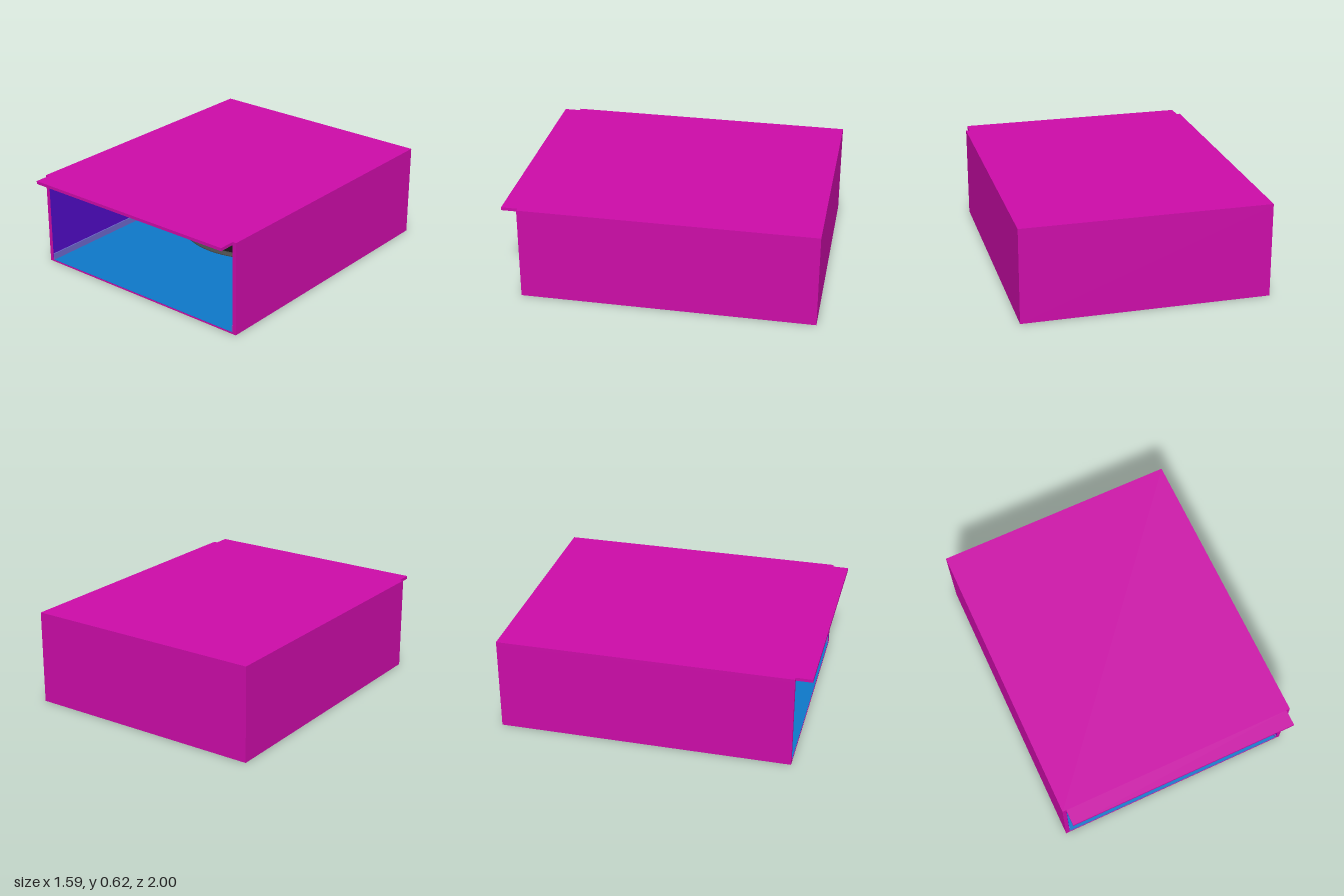
import * as THREE from 'three';

const MAGENTA = 0xcc0ca8, GREEN = 0x24c80e, INDIGO = 0x500ac3, LAVENDER = 0x6c66c8;
const BLUE = 0x0e78c8, BLACK = 0x141212, GREY = 0x464646;

// Outer shell and inner room limits
const X = 0.795, XI = 0.77, H = 0.615, YI = 0.595, FLOOR = 0.01;
const FRONT = 0.895, BACK = -1, BACKI = -0.975;
const DISC_Z = -0.34;

export function createModel() {
  const room = new THREE.Group();
  room.name = 'openRoom';

  const add = (name, geometry, color) => {
    const mesh = new THREE.Mesh(geometry, new THREE.MeshStandardMaterial({ color }));
    mesh.name = name;
    room.add(mesh);
    return mesh;
  };

  // Box given by its lower and upper limits
  const box = (name, color, [x0, x1], [y0, y1], [z0, z1]) =>
    add(name, new THREE.BoxGeometry(x1 - x0, y1 - y0, z1 - z0), color)
      .position.set((x0 + x1) / 2, (y0 + y1) / 2, (z0 + z1) / 2);

  // Shell: base, back, roof and the narrower front lip
  box('base', MAGENTA, [-X, X], [0, FLOOR], [BACK, FRONT]);
  box('backWall', MAGENTA, [-XI, XI], [FLOOR, YI], [BACK, BACKI]);
  box('roof', MAGENTA, [-X, X], [YI, H], [BACK, FRONT]);
  box('roofLip', MAGENTA, [-XI, XI], [YI, H], [FRONT, 1]);

  // Room lining
  const T = 0.002;
  box('floor', BLUE, [-XI, XI], [FLOOR, FLOOR + T], [BACKI, FRONT - T]);
  box('backPanel', GREEN, [-XI, XI], [FLOOR, YI], [BACKI, BACKI + T]);
  box('backSkirting', LAVENDER, [-XI, XI], [FLOOR, 0.055], [BACKI, BACKI + 0.01]);

  // Side walls with their panels and skirting
  for (const [side, s] of [['left', 1], ['right', -1]]) {
    const span = (a, b) => (s > 0 ? [a, b] : [-b, -a]);
    box(side + 'Wall', MAGENTA, span(XI, X), [FLOOR, YI], [BACK, FRONT]);
    box(side + 'Panel', INDIGO, span(XI - T, XI), [FLOOR, YI], [BACKI, FRONT - T]);
    box(side + 'Skirting', LAVENDER, span(XI - 0.01, XI), [FLOOR, 0.055], [BACKI, FRONT - T]);
  }

  // Round rug: black disc inside a bevelled grey rim
  const rim = [[0.49, 0.042], [0.527, 0.042], [0.527, 0.048], [0.505, 0.056], [0.49, 0.056], [0.49, 0.042]]
    .map(([r, y]) => new THREE.Vector2(r, y));
  const rugRim = add('rugRim', new THREE.LatheGeometry(rim, 64), GREY);
  rugRim.material.flatShading = true;
  rugRim.position.z = DISC_Z;
  add('rug', new THREE.CylinderGeometry(0.492, 0.492, 0.01, 64), BLACK).position.set(0, 0.048, DISC_Z);

  // Flat round ceiling fitting
  add('ceilingDisc', new THREE.CylinderGeometry(0.307, 0.307, 0.009, 48), BLACK)
    .position.set(0, YI - 0.0045, DISC_Z);

  return room;
}
